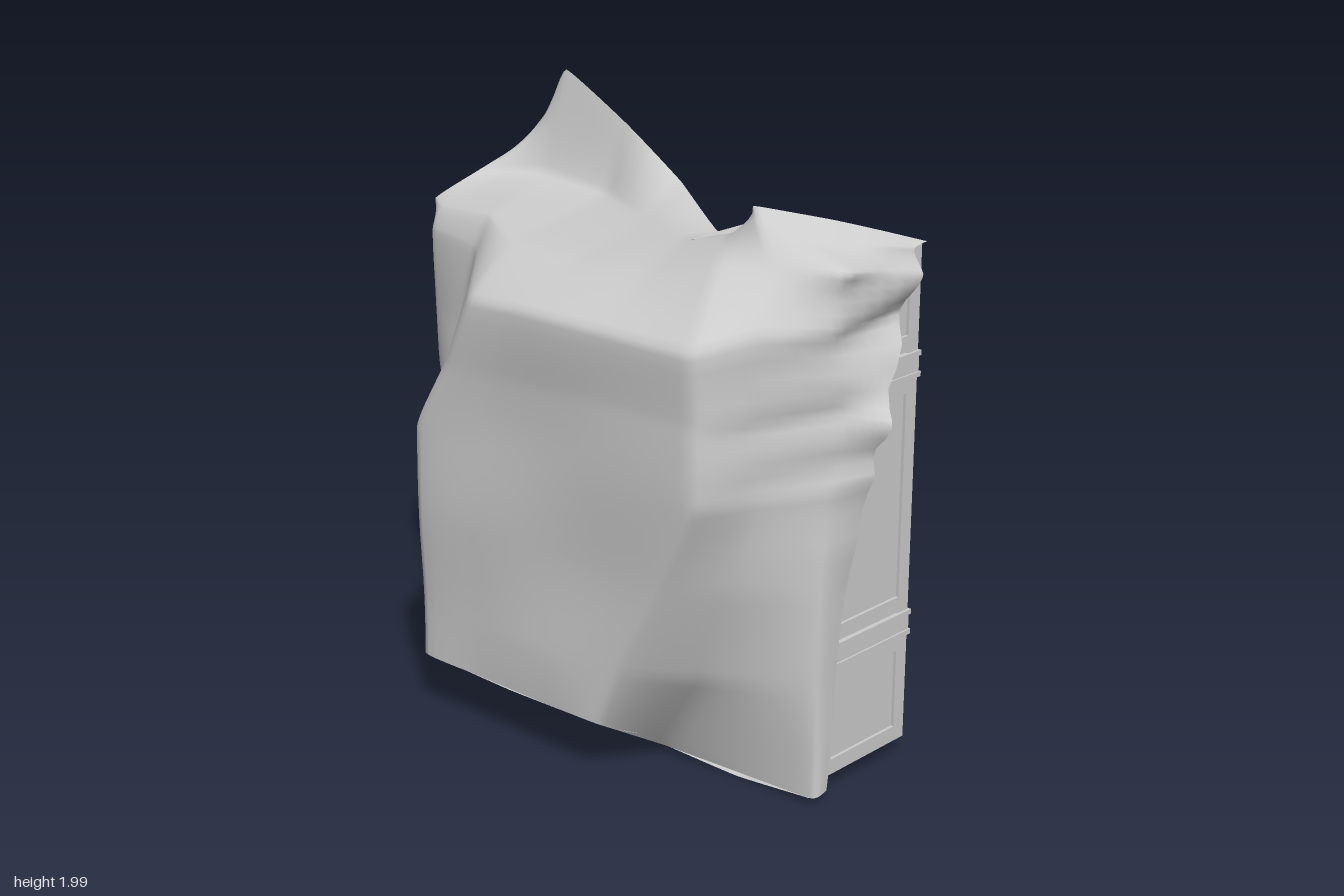
import * as THREE from 'three';

const mat = new THREE.MeshStandardMaterial({ color: 0xcccccc });
const clothMat = new THREE.MeshStandardMaterial({ color: 0xcccccc, side: THREE.DoubleSide });

// box given by its min and max on each axis
function box(parent, name, x0, x1, y0, y1, z0, z1) {
  const m = new THREE.Mesh(new THREE.BoxGeometry(x1 - x0, y1 - y0, z1 - z0), mat);
  m.position.set((x0 + x1) / 2, (y0 + y1) / 2, (z0 + z1) / 2);
  m.name = name;
  parent.add(m);
  return m;
}

// smooth cloth sheet through rows of control points
function sheet(name, rows, div, wrinkle) {
  const curve = pts => new THREE.CatmullRomCurve3(pts, false, 'catmullrom', 0.18);
  const nu = (rows[0].length - 1) * div, nv = (rows.length - 1) * div;
  const lines = rows.map(r => curve(r.map(p => new THREE.Vector3(...p))));
  const pos = [], index = [];
  const cols = [];
  for (let i = 0; i <= nu; i++) cols.push(curve(lines.map(l => l.getPoint(i / nu))));
  for (let j = 0; j <= nv; j++) {
    for (let i = 0; i <= nu; i++) {
      const p = cols[i].getPoint(j / nv);
      const w = wrinkle * (Math.sin(p.x * 6 + p.y * 5) + Math.sin(p.y * 11 - p.x * 4 + p.z * 11));
      const edge = Math.max(0, (p.x - 0.6) / 0.3) * Math.min(1, Math.max(0, p.y - 0.8) * 3);
      pos.push(p.x + wrinkle * 4 * edge * Math.sin(p.y * 38 + p.z * 9), p.y + w * 0.5, p.z + w);
      if (i < nu && j < nv) {
        const a = j * (nu + 1) + i, b = a + nu + 1;
        index.push(a, a + 1, b, b, a + 1, b + 1);
      }
    }
  }
  const g = new THREE.BufferGeometry();
  g.setAttribute('position', new THREE.Float32BufferAttribute(pos, 3));
  g.setIndex(index);
  g.computeVertexNormals();
  const m = new THREE.Mesh(g, clothMat);
  m.name = name;
  return m;
}

// tall trunk with two straps and raised panel borders
function tallCrate() {
  const g = new THREE.Group();
  g.name = 'tallCrate';
  box(g, 'tallBody', 0.26, 0.78, 0.07, 1.66, -0.415, 0);
  for (const y of [0.465, 1.305]) {
    box(g, 'strap', 0.246, 0.794, y - 0.03, y + 0.03, -0.417, 0.004);
    for (const s of [-1, 1]) box(g, 'strapEdge', 0.24, 0.8, y + s * 0.033 - 0.008, y + s * 0.033 + 0.008, -0.42, 0.008);
  }
  // borders on both sides
  for (const [x0, x1] of [[0.25, 0.262], [0.778, 0.79]]) {
    for (const [z0, z1] of [[-0.415, -0.365], [-0.05, 0]]) box(g, 'sideStile', x0, x1, 0.07, 1.67, z0, z1);
    for (const y of [0.07, 0.38, 0.51, 1.22, 1.35, 1.62]) box(g, 'sideRail', x0, x1, y, y + 0.05, -0.37, -0.04);
  }
  // border round the lid
  for (const [x0, x1] of [[0.25, 0.29], [0.75, 0.79]]) box(g, 'lidStile', x0, x1, 1.655, 1.67, -0.415, 0);
  for (const [z0, z1] of [[-0.415, -0.375], [-0.04, 0]]) box(g, 'lidRail', 0.28, 0.76, 1.655, 1.67, z0, z1);
  return g;
}

// square crate with corner frame and diagonal braces
function squareCrate() {
  const g = new THREE.Group();
  g.name = 'squareCrate';
  const hx = 0.385, hy = 0.39, hz = 0.375, t = 0.075;
  box(g, 'cratePanels', -hx + 0.03, hx - 0.03, -hy + 0.03, hy - 0.03, -hz + 0.03, hz - 0.03);
  for (const a of [-1, 1]) for (const b of [-1, 1]) {
    const span = (s, h) => s > 0 ? [h - t, h] : [-h, -h + t];
    box(g, 'post', ...span(a, hx), -hy, hy, ...span(b, hz));
    box(g, 'rail', -hx + t, hx - t, ...span(a, hy), ...span(b, hz - 0.008));
    box(g, 'sideRail', ...span(a, hx - 0.008), ...span(b, hy), -hz + t, hz - t);
  }
  for (const s of [-1, 1]) {
    const brace = box(g, 'brace', -0.43, 0.43, -0.035, 0.035, -0.01, 0.01);
    brace.position.z = s * (hz - 0.025);
    brace.rotation.z = Math.PI / 4;
  }
  g.position.set(-0.16, 0.605, -0.03);
  return g;
}

// long chest lying at a slight tilt, with lid battens and end handles
function longChest() {
  const g = new THREE.Group();
  g.name = 'longChest';
  const hx = 0.52, hy = 0.243;
  box(g, 'chestBody', -hx, hx, -hy, hy - 0.01, -0.2, 0.2);
  for (const z of [-0.19, 0.19]) box(g, 'lidTrim', -hx, hx, hy - 0.03, hy, z - 0.01, z + 0.01);
  for (let i = 0; i < 5; i++) {
    const x = -0.5 + i * 0.25;
    box(g, 'lidBatten', x - 0.02, x + 0.02, hy - 0.02, hy - 0.002, -0.18, 0.18);
  }
  for (const s of [-1, 1]) {
    box(g, 'handlePlate', s * hx - 0.006, s * hx + 0.006, -0.05, 0.11, -0.03, 0.03);
    const ring = new THREE.Mesh(new THREE.TorusGeometry(0.055, 0.012, 8, 24), mat);
    ring.name = 'handle';
    ring.rotation.y = Math.PI / 2;
    ring.scale.set(0.85, 2, 1);
    ring.position.set(s * (hx + 0.012), 0.03, 0);
    g.add(ring);
  }
  g.position.set(-0.315, 1.295, -0.22);
  g.rotation.z = 0.078;
  return g;
}

// sections of the cover, from the hem up; each runs left edge, front, right edge
const wall = [
  [[-0.7, 0.22, -0.36], [-0.63, 0.22, -0.12], [-0.59, 0.22, 0.1], [-0.55, 0.21, 0.39], [-0.3, 0.21, 0.395], [0, 0.21, 0.395], [0.225, 0.21, 0.39], [0.26, 0.04, 0.1], [0.8, 0.04, 0.07], [0.82, 0.05, 0.01]],
  [[-0.67, 0.4, -0.34], [-0.65, 0.42, -0.1], [-0.59, 0.42, 0.14], [-0.55, 0.4, 0.395], [-0.3, 0.4, 0.4], [0, 0.4, 0.4], [0.3, 0.4, 0.39], [0.5, 0.38, 0.2], [0.81, 0.4, 0.06], [0.82, 0.4, -0.03]],
  [[-0.78, 0.75, -0.22], [-0.7, 0.75, -0.04], [-0.6, 0.75, 0.17], [-0.55, 0.72, 0.395], [-0.3, 0.72, 0.4], [0.1, 0.72, 0.4], [0.46, 0.72, 0.39], [0.62, 0.7, 0.22], [0.82, 0.7, 0.06], [0.83, 0.7, -0.05]],
  [[-0.89, 1.04, -0.09], [-0.83, 1.04, 0.03], [-0.66, 1.04, 0.18], [-0.55, 1, 0.395], [-0.25, 1, 0.4], [0.15, 1, 0.4], [0.6, 1, 0.39], [0.7, 1.02, 0.23], [0.83, 1.03, 0.04], [0.89, 1.05, -0.07]],
  [[-0.89, 1.25, -0.09], [-0.86, 1.25, 0.02], [-0.63, 1.25, 0.13], [-0.42, 1.22, 0.39], [-0.2, 1.23, 0.4], [0.2, 1.25, 0.4], [0.6, 1.25, 0.395], [0.7, 1.24, 0.24], [0.85, 1.26, 0.02], [0.94, 1.24, -0.08]],
];
const roof = [
  [[-0.93, 1.5, -0.08], [-0.87, 1.5, 0.01], [-0.59, 1.5, 0.09], [-0.31, 1.46, 0.385], [-0.1, 1.47, 0.4], [0.25, 1.475, 0.405], [0.6, 1.48, 0.405], [0.71, 1.52, 0.25], [0.83, 1.5, 0.03], [0.84, 1.5, -0.26]],
  [[-0.95, 1.58, -0.08], [-0.86, 1.58, -0.03], [-0.59, 1.605, 0.02], [-0.35, 1.58, 0.15], [-0.05, 1.58, 0.17], [0.25, 1.61, 0.18], [0.5, 1.67, 0.18], [0.65, 1.68, 0.12], [0.85, 1.67, 0.01], [0.87, 1.62, -0.3]],
  [[-0.91, 1.65, -0.22], [-0.82, 1.66, -0.28], [-0.7, 1.66, -0.32], [-0.42, 1.64, -0.32], [-0.1, 1.64, -0.17], [0.2, 1.66, -0.02], [0.4, 1.71, 0.03], [0.54, 1.79, 0.05], [0.72, 1.73, -0.02], [0.86, 1.69, -0.3]],
  [[-0.83, 1.75, -0.385], [-0.75, 1.87, -0.41], [-0.67, 2, -0.415], [-0.4, 1.86, -0.412], [-0.12, 1.72, -0.37], [0.2, 1.64, -0.19], [0.41, 1.72, -0.12], [0.51, 1.82, 0.03], [0.68, 1.78, -0.12], [0.86, 1.7, -0.36]],
];

export function createModel() {
  const model = new THREE.Group();
  model.name = 'coveredCrates';
  model.add(tallCrate(), squareCrate(), longChest());
  model.add(sheet('cover', [...wall, ...roof], 6, 0.004));
  // loose corner hanging at the lower left
  model.add(sheet('hangingCorner', [
    [[-0.7, 0.22, -0.36], [-0.61, 0.22, 0.02], [-0.55, 0.21, 0.39]],
    [[-0.77, 0.12, -0.32], [-0.64, 0.13, 0.02], [-0.57, 0.16, 0.28]],
    [[-0.68, 0.07, -0.38], [-0.59, 0.05, -0.05], [-0.57, 0.13, 0.18]],
  ], 6, 0.003));
  // hem tucked beneath the tall trunk
  model.add(sheet('tuckedHem', [
    [[0.26, 0.04, 0.1], [0.52, 0.015, 0.07], [0.8, 0.04, 0.07]],
    [[0.38, 0.045, -0.12], [0.52, 0.03, -0.12], [0.68, 0.045, -0.12]],
    [[0.5, 0.05, -0.35], [0.52, 0.045, -0.36], [0.55, 0.05, -0.35]],
  ], 5, 0.002));
  // hem tucked beneath the square crate
  model.add(sheet('tuckedFront', [
    [[-0.55, 0.21, 0.39], [-0.15, 0.205, 0.395], [0.225, 0.21, 0.39]],
    [[-0.54, 0.2, 0.12], [-0.15, 0.2, 0.1], [0.25, 0.12, 0.2]],
    [[-0.53, 0.2, -0.14], [-0.15, 0.2, -0.18], [0.23, 0.18, -0.2]],
  ], 5, 0.001));
  // narrow strip hanging below the square crate
  model.add(sheet('hangingStrip', [
    [[-0.5, 0.2, -0.13], [-0.45, 0.2, -0.11], [-0.4, 0.2, -0.13]],
    [[-0.48, 0.13, -0.13], [-0.45, 0.13, -0.11], [-0.42, 0.13, -0.13]],
    [[-0.48, 0.05, -0.14], [-0.45, 0.05, -0.12], [-0.43, 0.05, -0.14]],
  ], 4, 0));
  return model;
}
